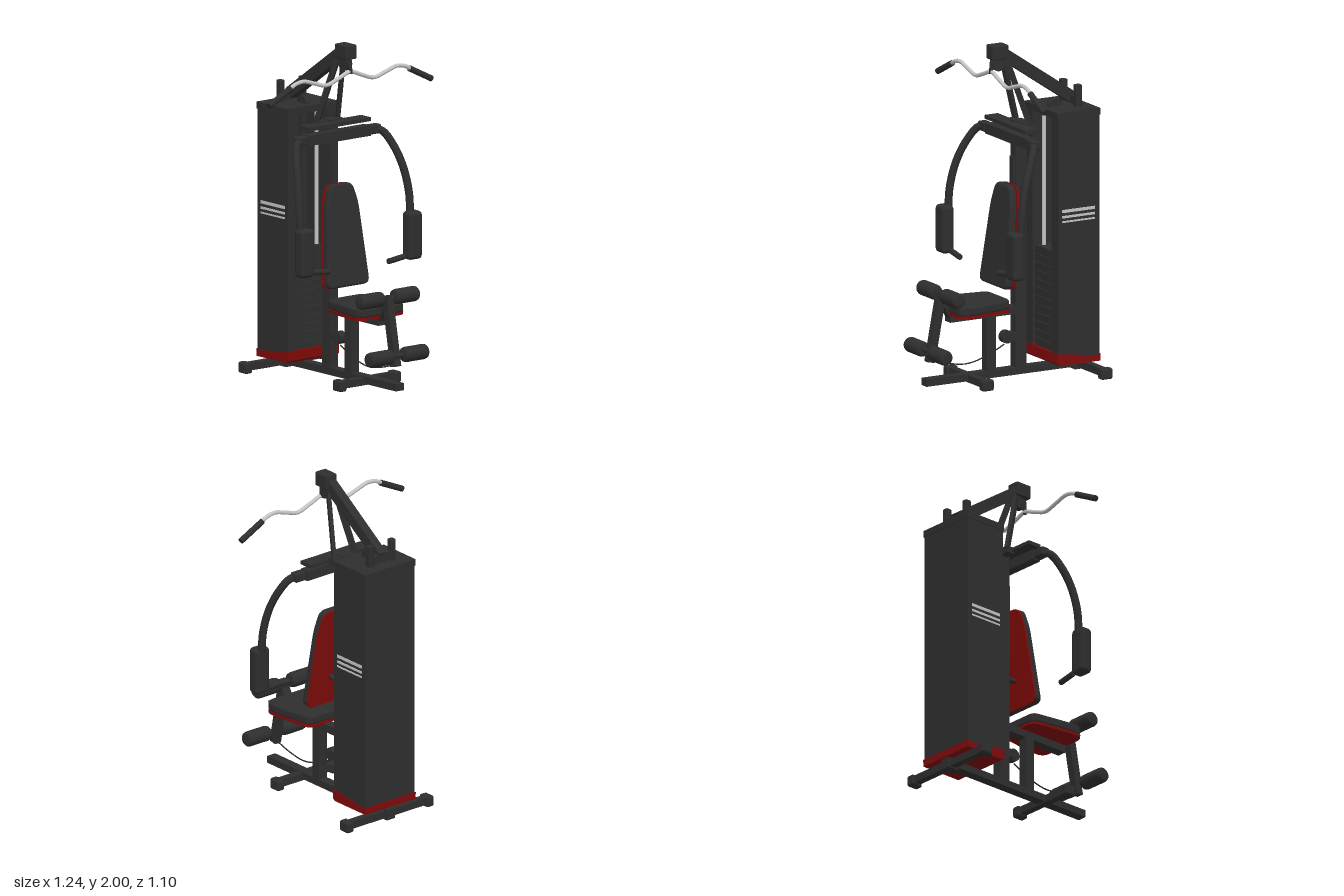
import * as THREE from 'three';
import { RoundedBoxGeometry } from 'three/addons/geometries/RoundedBoxGeometry.js';

const mat = (name, color) => new THREE.MeshStandardMaterial({ name, color });
const V = (x, y, z) => new THREE.Vector3(x, y, z);

export function createModel() {
  const model = new THREE.Group();
  model.name = 'homeGym';
  const frame = mat('charcoal', 0x2e2e2e);
  const red = mat('deepRed', 0x800a0a);
  const silver = mat('silver', 0xc4c4c4);

  const add = (name, geo, material = frame) => {
    const m = new THREE.Mesh(geo, material);
    m.name = name;
    model.add(m);
    return m;
  };
  // Box given by its limits on each axis; r rounds the edges
  const box = (name, x0, x1, y0, y1, z0, z1, material = frame, r = 0) => {
    const s = [x1 - x0, y1 - y0, z1 - z0];
    const g = r ? new RoundedBoxGeometry(...s, 3, r) : new THREE.BoxGeometry(...s);
    return add(name, g.translate((x0 + x1) / 2, (y0 + y1) / 2, (z0 + z1) / 2), material);
  };
  // Square bar between two points
  const beam = (name, a, b, w, h) => {
    const m = add(name, new THREE.BoxGeometry(w, h, a.distanceTo(b)));
    m.position.copy(a).add(b).multiplyScalar(0.5);
    m.lookAt(b);
    return m;
  };
  // Cylinder along x
  const axle = (name, x0, x1, y, z, r, material = frame) =>
    add(name, new THREE.CylinderGeometry(r, r, x1 - x0, 24).rotateZ(Math.PI / 2).translate((x0 + x1) / 2, y, z), material);
  const tube = (name, pts, r, material = frame, n = 40) =>
    add(name, new THREE.TubeGeometry(new THREE.CatmullRomCurve3(pts), n, r, 12), material);
  // Short rod with flat ends between two points
  const rod = (name, a, b, r, material = frame) => {
    const m = add(name, new THREE.CylinderGeometry(r, r, a.distanceTo(b), 16), material);
    m.position.copy(a).add(b).multiplyScalar(0.5);
    m.quaternion.setFromUnitVectors(V(0, 1, 0), b.clone().sub(a).normalize());
    return m;
  };
  // Symmetric outline with rounded corners, from its right half (bottom to top)
  const outline = (half, r) => {
    const p = [...half, ...half.slice().reverse().map(([x, y]) => [-x, y])].map(q => new THREE.Vector2(...q));
    const s = new THREE.Shape();
    p.forEach((c, i) => {
      const toward = q => c.clone().add(q.clone().sub(c).setLength(r));
      const a = toward(p[(i + p.length - 1) % p.length]);
      const b = toward(p[(i + 1) % p.length]);
      if (i) s.lineTo(a.x, a.y); else s.moveTo(a.x, a.y);
      s.quadraticCurveTo(c.x, c.y, b.x, b.y);
    });
    s.closePath();
    return s;
  };
  const slab = (shape, depth, bevel) => new THREE.ExtrudeGeometry(shape, {
    depth: depth - 2 * bevel, bevelEnabled: bevel > 0, bevelThickness: bevel,
    bevelSize: bevel, bevelOffset: -bevel, bevelSegments: 3, curveSegments: 6,
  }).translate(0, 0, bevel);

  // Base frame with capped feet
  box('baseBeam', -0.03, 0.03, 0.022, 0.065, -0.52, 0.53);
  for (const [z, w] of [[0.23, 0.23], [-0.512, 0.327]]) {
    box('crossFoot', -w, w, 0.015, 0.06, z - 0.022, z + 0.022);
    for (const s of [-1, 1]) {
      const c = s * (w - 0.024);
      box('footCap', c - 0.026, c + 0.026, 0, 0.066, z - 0.038, z + 0.038, frame, 0.012);
    }
  }
  box('rearFootClamp', -0.03, 0.03, 0.005, 0.07, -0.55, -0.47);

  // Upright, seat post and seat beam
  box('upright', -0.03, 0.03, 0.06, 1.535, -0.142, -0.07);
  box('seatPost', -0.03, 0.03, 0.06, 0.39, 0.063, 0.123);
  box('seatBeam', -0.03, 0.03, 0.385, 0.432, -0.075, 0.37);
  box('backrestRail', -0.02, 0.02, 0.83, 1.32, -0.072, -0.058);
  rod('backrestPin', V(0, 0.735, 0.03), V(0, 0.725, -0.075), 0.016);

  // Seat cushion on a red board
  const seatHalf = [[0.135, 0.02], [0.178, 0.3], [0.165, 0.38]];
  add('seatBoard', slab(outline(seatHalf, 0.045), 0.016, 0).rotateX(Math.PI / 2).translate(0, 0.446, 0), red);
  add('seatCushion', slab(outline(seatHalf, 0.045), 0.058, 0.014).rotateX(Math.PI / 2).translate(0, 0.502, 0));

  // Backrest cushion on a red board
  const backHalf = [[0.162, 0], [0.122, 0.48], [0.085, 0.605]];
  const lean = g => g.rotateX(-0.117).translate(0, 0.56, 0.015);
  add('backrestBoard', lean(slab(outline(backHalf, 0.045), 0.012, 0)), red);
  add('backrestCushion', lean(slab(outline(backHalf.map(([x, y]) => [x * 0.98, y]), 0.045), 0.047, 0.014).translate(0, 0, 0.011)));

  // Leg lever and foam rollers
  beam('legLever', V(0, 0.57, 0.415), V(0, 0.16, 0.492), 0.045, 0.048);
  beam('leverBracket', V(0, 0.545, 0.425), V(0, 0.41, 0.35), 0.055, 0.035);
  const foam = [[0, -0.088], [0.032, -0.088], [0.041, -0.08], [0.045, -0.065], [0.045, 0.065], [0.041, 0.08], [0.032, 0.088], [0, 0.088]]
    .map(p => new THREE.Vector2(...p));
  for (const [y, z] of [[0.555, 0.418], [0.225, 0.503]]) {
    axle('rollerAxle', -0.222, 0.222, y, z, 0.014);
    for (const s of [-1, 1])
      add('foamRoller', new THREE.LatheGeometry(foam, 28).rotateZ(Math.PI / 2).translate(s * 0.13, y, z));
  }

  // Low pulley and cables
  axle('lowPulley', -0.022, 0.022, 0.25, -0.022, 0.038);
  box('lowPulleyBracket', -0.028, 0.028, 0.225, 0.275, -0.08, -0.015);
  tube('lowCable', [V(0, 0.17, 0.485), V(0, 0.135, 0.36), V(0, 0.12, 0.24), V(0, 0.15, 0.11), V(0, 0.205, -0.01)], 0.004);
  rod('innerCable', V(0, 0.25, -0.063), V(0, 0.39, -0.063), 0.004);

  // Weight tower: open-fronted shroud, lid and red base
  const c = new THREE.Shape([[-0.187, 0.264], [-0.11, 0.264], [-0.11, 0.276], [-0.174, 0.276], [-0.174, 0.53], [0.174, 0.53],
    [0.174, 0.276], [0.11, 0.276], [0.11, 0.264], [0.187, 0.264], [0.187, 0.542], [-0.187, 0.542]].map(p => new THREE.Vector2(...p)));
  add('towerShroud', new THREE.ExtrudeGeometry(c, { depth: 1.46, bevelEnabled: false }).rotateX(-Math.PI / 2).translate(0, 0.12, 0));
  box('towerLid', -0.191, 0.191, 1.55, 1.59, -0.546, -0.259);
  const foot = new THREE.Shape([[0.255, 0.095], [0.27, 0.082], [0.545, 0.082], [0.547, 0.125], [0.52, 0.118], [0.255, 0.152]]
    .map(p => new THREE.Vector2(...p)));
  add('towerBase', new THREE.ExtrudeGeometry(foot, { depth: 0.382, bevelEnabled: false })
    .rotateY(Math.PI / 2).translate(-0.191, 0, 0), red);
  for (const s of [-1, 1]) {
    box('towerPost', s * 0.083 - 0.018, s * 0.083 + 0.018, 0.05, 1.72, -0.476, -0.436, frame, 0.006);
    rod('guideRod', V(s * 0.08, 0.15, -0.325), V(s * 0.08, 1.56, -0.325), 0.012, silver);
    // Side stripes
    for (const [y, h] of [[1.001, 0.018], [0.967, 0.014], [0.938, 0.01]])
      box('sideStripe', s * 0.188 - 0.003, s * 0.188 + 0.003, y - h / 2, y + h / 2, -0.51, -0.29, silver);
  }
  for (let i = 0; i < 12; i++)
    box('weightPlate', -0.105, 0.105, 0.15 + i * 0.05, 0.196 + i * 0.05, -0.39, -0.28);

  // Boom, head and struts
  beam('topBoom', V(0, 1.955, 0.02), V(0, 1.63, -0.46), 0.055, 0.068);
  box('boomHead', -0.04, 0.04, 1.915, 2, -0.018, 0.09, frame, 0.008);
  box('boomFoot', -0.065, 0.065, 1.6, 1.65, -0.475, -0.437);
  axle('frontPulley', -0.018, 0.018, 1.885, 0.033, 0.042);
  axle('rearPulley', -0.018, 0.018, 1.592, -0.345, 0.042);
  for (const s of [-1, 1]) beam('boomStrut', V(s * 0.025, 1.9, -0.015), V(s * 0.08, 1.515, -0.135), 0.022, 0.034);
  box('strutFoot', -0.09, 0.09, 1.49, 1.53, -0.142, -0.09);

  // Pull-down bar with grips
  const half = [[0.09, 1.812], [0.18, 1.785], [0.27, 1.808], [0.35, 1.83], [0.41, 1.822], [0.46, 1.797]];
  tube('pullBar', [...half.slice().reverse().map(([x, y]) => V(-x, y, 0.077)), V(0, 1.842, 0.077),
    ...half.map(([x, y]) => V(x, y, 0.077))], 0.012, silver, 90);
  rod('barHook', V(0, 1.83, 0.08), V(0, 1.92, 0.072), 0.012);

  // Press arm axle and crown plate
  box('crownPlate', -0.235, 0.235, 1.503, 1.525, -0.105, -0.015);
  box('pressBeam', -0.235, 0.235, 1.415, 1.477, -0.075, -0.018);
  for (const s of [-1, 1]) {
    rod('barGrip', V(s * 0.447, 1.802, 0.077), V(s * 0.612, 1.72, 0.077), 0.018);
    box('pressCollar', s * 0.275 - 0.04, s * 0.275 + 0.04, 1.42, 1.475, -0.07, -0.015, frame, 0.01);
    // Curved press arm, pad and handle
    tube('pressArm', [V(s * 0.27, 1.447, -0.042), V(s * 0.32, 1.435, -0.02), V(s * 0.365, 1.35, 0.03), V(s * 0.395, 1.23, 0.08),
      V(s * 0.413, 1.08, 0.113), V(s * 0.413, 0.93, 0.125)], 0.023);
    box('armPad', s * 0.406 - 0.051, s * 0.406 + 0.051, 0.69, 0.975, 0.113, 0.193, frame, 0.024);
    rod('pressHandle', V(s * 0.35, 0.708, 0.14), V(s * 0.222, 0.7, 0.158), 0.017);
  }
  return model;
}
